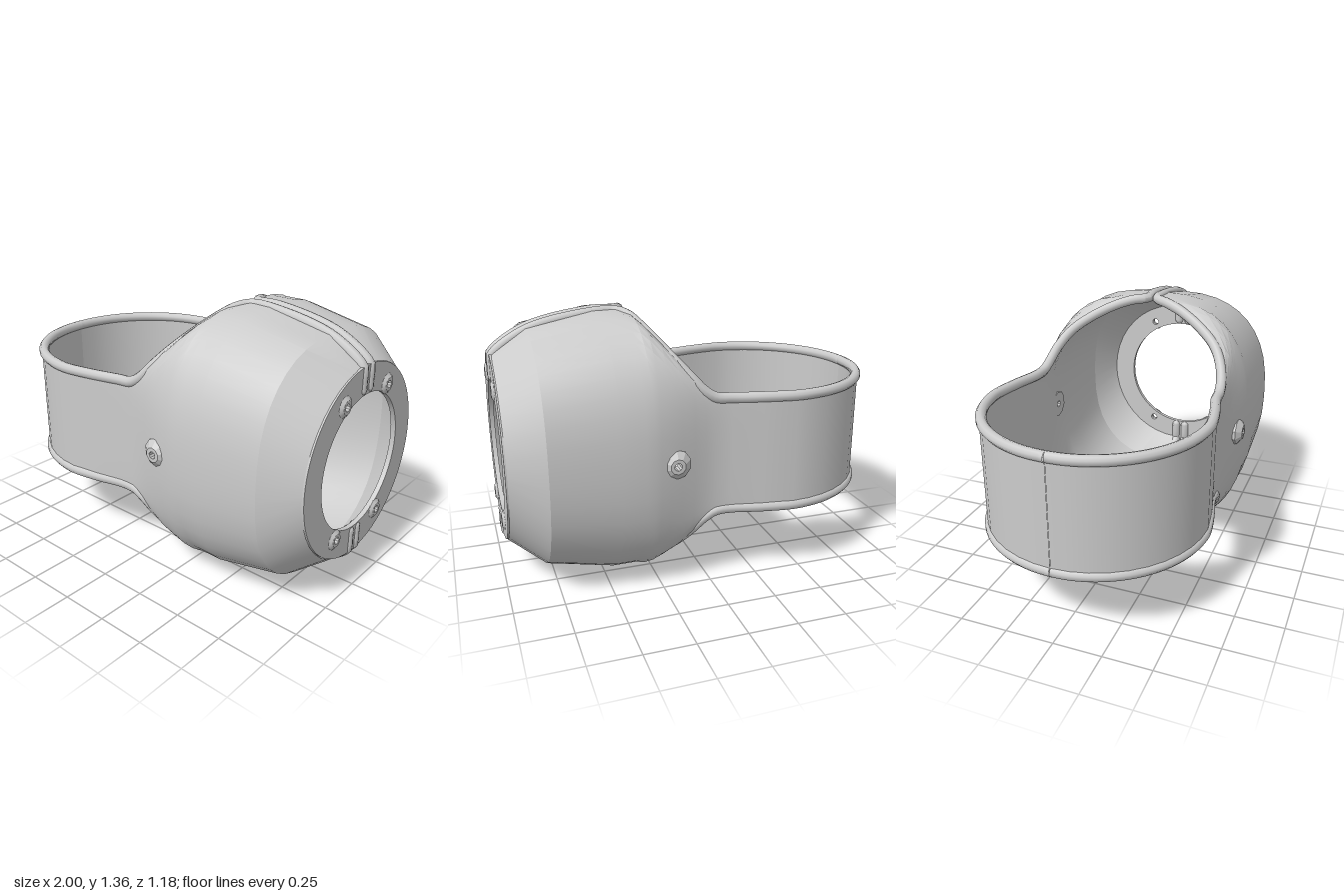
import * as THREE from 'three';
import { toCreasedNormals } from 'three/addons/utils/BufferGeometryUtils.js';

const MID = 0.677;   // height of the horizontal symmetry plane
const WALL = 0.012;  // half the wall thickness
const RIM = 0.027;   // radius of the rolled rim

const material = new THREE.MeshStandardMaterial({ color: 0xcccccc, side: THREE.DoubleSide });

// Cross-sections along the shell: x, half width at mid height, half width at the edge, half height, roundness
function makeStations() {
  const list = [];
  for (let i = 0; i <= 10; i++) {
    const a = (i / 10) * Math.PI * 0.5;
    const z = 0.56 * Math.sin(a);
    list.push([-0.415 - 0.56 * Math.cos(a), z, z, 0.288, 0.8]);
  }
  list.push(
    [-0.25, 0.535, 0.535, 0.288, 0.8],
    [-0.1, 0.505, 0.5, 0.288, 0.8],
    [-0.02, 0.5, 0.495, 0.294, 0.8],
    [0.04, 0.508, 0.488, 0.33, 0.8],
    [0.1, 0.522, 0.465, 0.395, 0.8],
    [0.17, 0.543, 0.41, 0.475, 0.8],
    [0.23, 0.558, 0.31, 0.55, 0.8],
    [0.28, 0.569, 0.19, 0.612, 0.78],
    [0.31, 0.574, 0.1, 0.642, 0.77],
    [0.35, 0.577, 0.03, 0.65, 0.77],
    [0.47, 0.578, 0.03, 0.65, 0.77],
    [0.8, 0.566, 0.03, 0.582, 0.8],
    [0.97, 0.472, 0.03, 0.465, 1]
  );
  return list;
}

const stations = makeStations();
const HOLE_STATION = stations.findIndex((s) => s[0] === 0.17);

// Row positions from bottom edge to top edge, with a narrow pair for the side screw hole
const rows = [];
for (let j = 10; j >= 1; j--) rows.push(-j / 10);
rows.push(-0.021, 0.021);
for (let j = 1; j <= 10; j++) rows.push(j / 10);
const HOLE_ROW = 10;

function add(group, name, geometry, crease = 0.5) {
  const mesh = new THREE.Mesh(toCreasedNormals(geometry, crease), material);
  mesh.name = name;
  group.add(mesh);
  return mesh;
}

// One skin of a half shell, pushed along its normals by offset
function skin(side, offset) {
  const pos = [], index = [], n = rows.length;
  for (const [x, zm, ze, h, e] of stations) {
    for (const v of rows) {
      const t = v * Math.PI / 2;
      const c = Math.pow(Math.max(0, Math.cos(t)), e);
      const s = Math.sign(v) * Math.pow(Math.abs(Math.sin(t)), e);
      pos.push(x, MID + h * s, side * (ze + (zm - ze) * c));
    }
  }
  for (let i = 0; i < stations.length - 1; i++) {
    for (let j = 0; j < n - 1; j++) {
      if (i === HOLE_STATION && j === HOLE_ROW) continue;
      const a = i * n + j, b = a + n, c = b + 1, d = a + 1;
      if (side > 0) index.push(a, b, c, a, c, d);
      else index.push(a, c, b, a, d, c);
    }
  }
  const geo = new THREE.BufferGeometry();
  geo.setAttribute('position', new THREE.Float32BufferAttribute(pos, 3));
  geo.setIndex(index);
  geo.computeVertexNormals();
  const p = geo.attributes.position, nn = geo.attributes.normal;
  for (let i = 0; i < p.count; i++) {
    p.setXYZ(i, p.getX(i) + nn.getX(i) * offset, p.getY(i) + nn.getY(i) * offset, p.getZ(i) + nn.getZ(i) * offset);
  }
  if (offset < 0) geo.setIndex(index.reverse());
  return geo;
}

// Rolled rim along the band, around the opening, along the seam and down the end face
function rimPath(side, up) {
  const points = stations.map(([x, , z, h]) => new THREE.Vector3(x, MID + up * h, side * z));
  for (const h of [0.43, 0.365]) points.push(new THREE.Vector3(0.969, MID + up * h, side * 0.03));
  return new THREE.CatmullRomCurve3(points, false, 'centripetal');
}

// Half of the flat ring that closes the barrel end, with two screw holes
function endPlate(side) {
  const shape = new THREE.Shape();
  shape.absarc(0, 0, 0.48, -Math.PI / 2, Math.PI / 2, false);
  shape.absarc(0, 0, 0.34, Math.PI / 2, -Math.PI / 2, true);
  shape.closePath();
  for (const up of [1, -1]) {
    const hole = new THREE.Path();
    hole.absarc(0.19, up * 0.335, 0.019, 0, Math.PI * 2, true);
    shape.holes.push(hole);
  }
  const geo = new THREE.ExtrudeGeometry(shape, { depth: 0.025, bevelEnabled: false, curveSegments: 24 });
  geo.rotateY(Math.PI / 2);
  if (side > 0) geo.rotateX(Math.PI);
  geo.translate(0.96, MID, 0);
  return geo;
}

// Raised collar around a screw hole, axis along y
function collar(outer, top, hole, height, depth) {
  const profile = [[hole, -depth], [outer, -depth], [outer, 0], [top, height], [hole, height], [hole, -depth]];
  return new THREE.LatheGeometry(profile.map(([r, y]) => new THREE.Vector2(r, y)), 10);
}

export function createModel() {
  const model = new THREE.Group();
  model.name = 'clampShell';

  for (const side of [1, -1]) {
    const half = new THREE.Group();
    half.name = side > 0 ? 'frontHalf' : 'backHalf';
    model.add(half);

    add(half, 'outerWall', skin(side, WALL), 0.45);
    add(half, 'innerWall', skin(side, -WALL), 0.45);
    add(half, 'endPlate', endPlate(side));

    for (const up of [1, -1]) {
      const path = rimPath(side, up);
      add(half, up > 0 ? 'upperRim' : 'lowerRim', new THREE.TubeGeometry(path, 110, RIM, 10, false), 0.7);
      const tip = new THREE.SphereGeometry(RIM, 10, 8);
      tip.translate(...path.getPoint(1).toArray());
      add(half, 'rimTip', tip, 0.9);

      // Collars on the end plate
      const endCollar = collar(0.052, 0.034, 0.019, 0.013, 0.005);
      endCollar.rotateZ(-Math.PI / 2);
      endCollar.translate(0.985, MID + up * 0.335, side * 0.19);
      add(half, 'endScrewCollar', endCollar, 0.4);
    }

    // Collar in the middle of the side wall
    const sideCollar = collar(0.075, 0.038, 0.019, 0.03, 0.03);
    sideCollar.rotateX(side * Math.PI / 2);
    sideCollar.translate(0.2, MID, side * 0.558);
    add(half, 'sideScrewCollar', sideCollar, 0.4);
  }
  return model;
}
